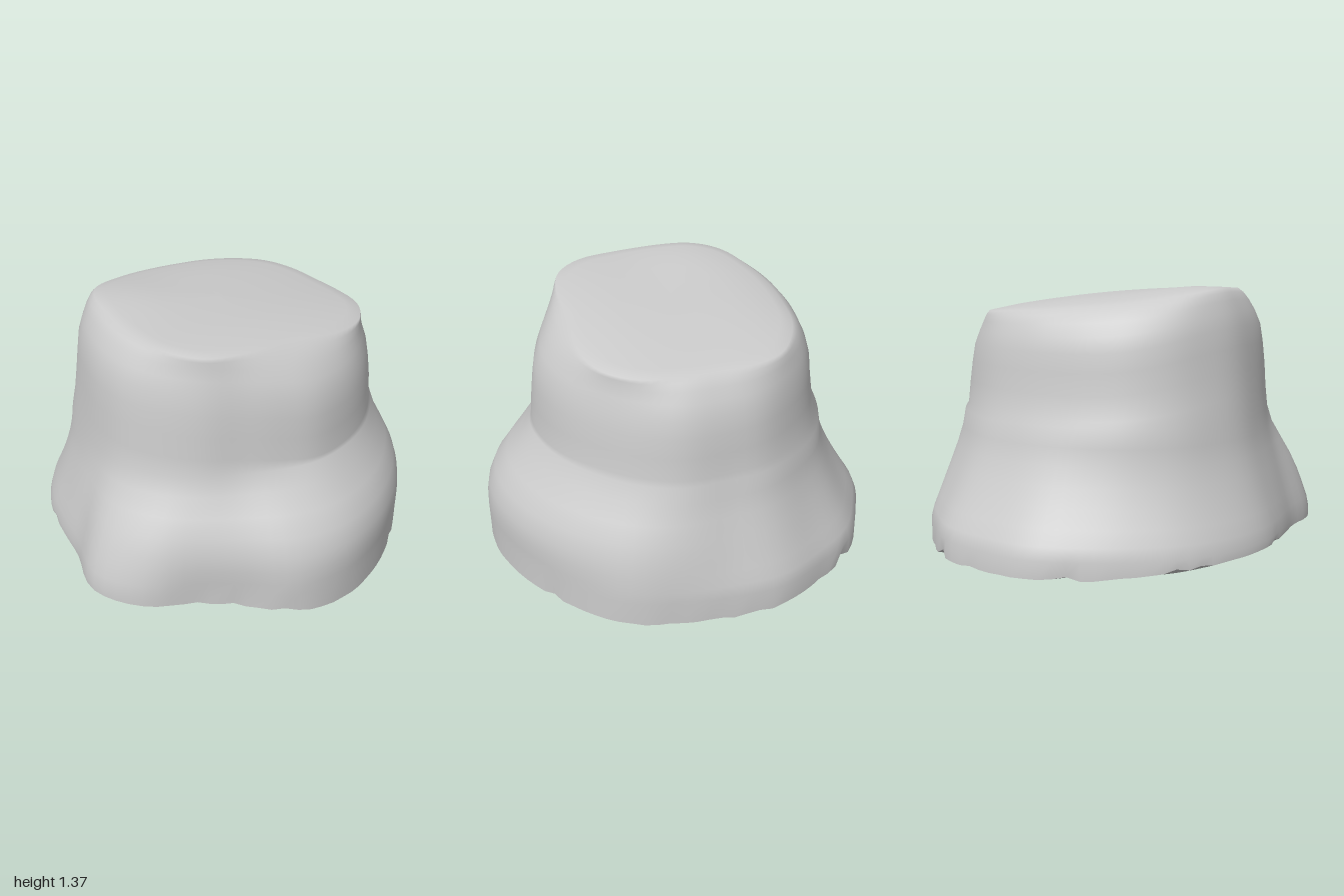
import * as THREE from 'three';

const SEG = 96;

// Ring radii every 15 degrees, from +x (left) round through +z (front)
const BASE = [1.0, .985, .905, .90, 1.0, 1.03, .92, .905, .93, .945, .96, .96,
  .98, 1.02, 1.015, 1.03, 1.0, 1.0, .965, .96, .985, .97, .965, .98];
const WAIST = [.76, .73, .72, .75, .77, .78, .765, .76, .77, .77, .78, .775,
  .76, .755, .77, .79, .80, .81, .80, .82, .81, .79, .78, .77];
const PLATEAU = [.53, .55, .60, .66, .66, .62, .60, .60, .62, .62, .58, .56,
  .55, .56, .60, .64, .68, .67, .65, .67, .71, .70, .64, .57];

// Smooth periodic lookup into a ring of radii
function radiusAt(ring, a) {
  const n = ring.length, u = a / (Math.PI * 2) * n, i = Math.floor(u), t = u - i;
  const p = k => ring[(i + k + n) % n];
  return p(0) + 0.5 * t * (p(1) - p(-1)
    + t * (2 * p(-1) - 5 * p(0) + 4 * p(1) - p(2)
    + t * (3 * (p(0) - p(1)) + p(2) - p(-1))));
}

function seeded(seed) {
  return () => {
    seed = (seed * 16807) % 2147483647;
    return seed / 2147483647;
  };
}

// Skin a stack of closed rings
function loft(rings) {
  const pos = [], index = [];
  rings.forEach(ring => ring.forEach(p => pos.push(p.x, p.y, p.z)));
  for (let i = 0; i < rings.length - 1; i++) {
    for (let j = 0; j < SEG; j++) {
      const k = (j + 1) % SEG;
      const a = i * SEG + j, b = a + SEG, c = i * SEG + k, d = c + SEG;
      index.push(a, b, c, c, b, d);
    }
  }
  const geo = new THREE.BufferGeometry();
  geo.setAttribute('position', new THREE.Float32BufferAttribute(pos, 3));
  geo.setIndex(index);
  geo.computeVertexNormals();
  return geo;
}

function makeRing(fn) {
  return Array.from({ length: SEG }, (_, j) => {
    const a = j / SEG * Math.PI * 2, { r, y } = fn(a);
    return new THREE.Vector3(r * Math.cos(a), y, r * Math.sin(a));
  });
}

// Height of the top surface: slopes down to the back and sides, slight hump at front right
function topHeight(x, z) {
  return 1.33 + 0.08 * z - 0.08 * z * z - 0.4 * x ** 4
    + 0.025 * Math.exp(-((x + 0.25) ** 2 + (z - 0.45) ** 2) / 0.08);
}

export function createModel() {
  const group = new THREE.Group();
  const material = new THREE.MeshStandardMaterial({ color: 0xcccccc });
  const rand = seeded(71);

  // Ragged lower rim, lifted at the front and most torn at the back right
  const rim = makeRing(a => {
    const torn = Math.max(0.2, Math.cos(a - 4.2));
    const nick = rand() < 0.25 ? rand() : 0.15 * rand();
    return {
      r: radiusAt(BASE, a) * (1 - 0.04 * torn * nick),
      y: 0.04 + 0.085 * Math.max(0, Math.sin(a)) + 0.04 * Math.max(0, -Math.cos(a))
        + 0.08 * torn * nick,
    };
  });

  // Flared skirt, fuller on the left and hollower on the right: [height, blend to waist]
  const skirt = [[0.17, 0.01], [0.23, 0.08], [0.3, 0.21], [0.38, 0.36], [0.47, 0.54],
    [0.56, 0.73], [0.65, 0.9], [0.74, 1]].map(([y, t]) => makeRing(a => {
    const c = Math.cos(a);
    const bulge = Math.sin(Math.PI * t) * (c > 0 ? 0.085 * c : 0.035 * c);
    return { r: THREE.MathUtils.lerp(radiusAt(BASE, a), radiusAt(WAIST, a), t) + bulge, y };
  }));

  // Upper wall and rounded shoulder: [height fraction, waist scale, blend to plateau]
  const crown = [[0.63, 0.985, 0], [0.72, 0.975, 0], [0.8, 0.96, 0], [0.87, 0.94, 0],
    [0.92, 0.915, 0.1], [0.96, 0.9, 0.36], [0.985, 0.9, 0.68], [0.998, 0.9, 1]]
    .map(([f, s, t]) => makeRing(a => {
      const inset = 0.035 * Math.max(0, -Math.cos(a)) * Math.sin(Math.PI * (f - 0.56) / 0.44);
      const wall = radiusAt(WAIST, a) * s - inset;
      const r = THREE.MathUtils.lerp(wall, radiusAt(PLATEAU, a), t);
      return { r, y: f * topHeight(r * Math.cos(a), r * Math.sin(a)) };
    }));

  // Nearly flat top, closing to the centre
  const top = [0.9, 0.7, 0.5, 0.25, 0].map(f => makeRing(a => {
    const r = radiusAt(PLATEAU, a) * f;
    return { r, y: topHeight(r * Math.cos(a), r * Math.sin(a)) };
  }));

  const body = new THREE.Mesh(loft([rim, ...skirt, ...crown, ...top]), material);
  body.name = 'body';

  // Shallow underside, lowest towards the back left
  const inner = [[0, 0.045], [0.45, 0.035], [0.78, 0.02]].map(([f, h]) => makeRing(a => ({
    r: radiusAt(BASE, a) * f,
    y: h - 0.02 * f / 0.78 * Math.cos(a + Math.PI / 4),
  })));
  const underside = new THREE.Mesh(loft([...inner, rim]), material);
  underside.name = 'underside';

  group.add(body, underside);
  return group;
}
